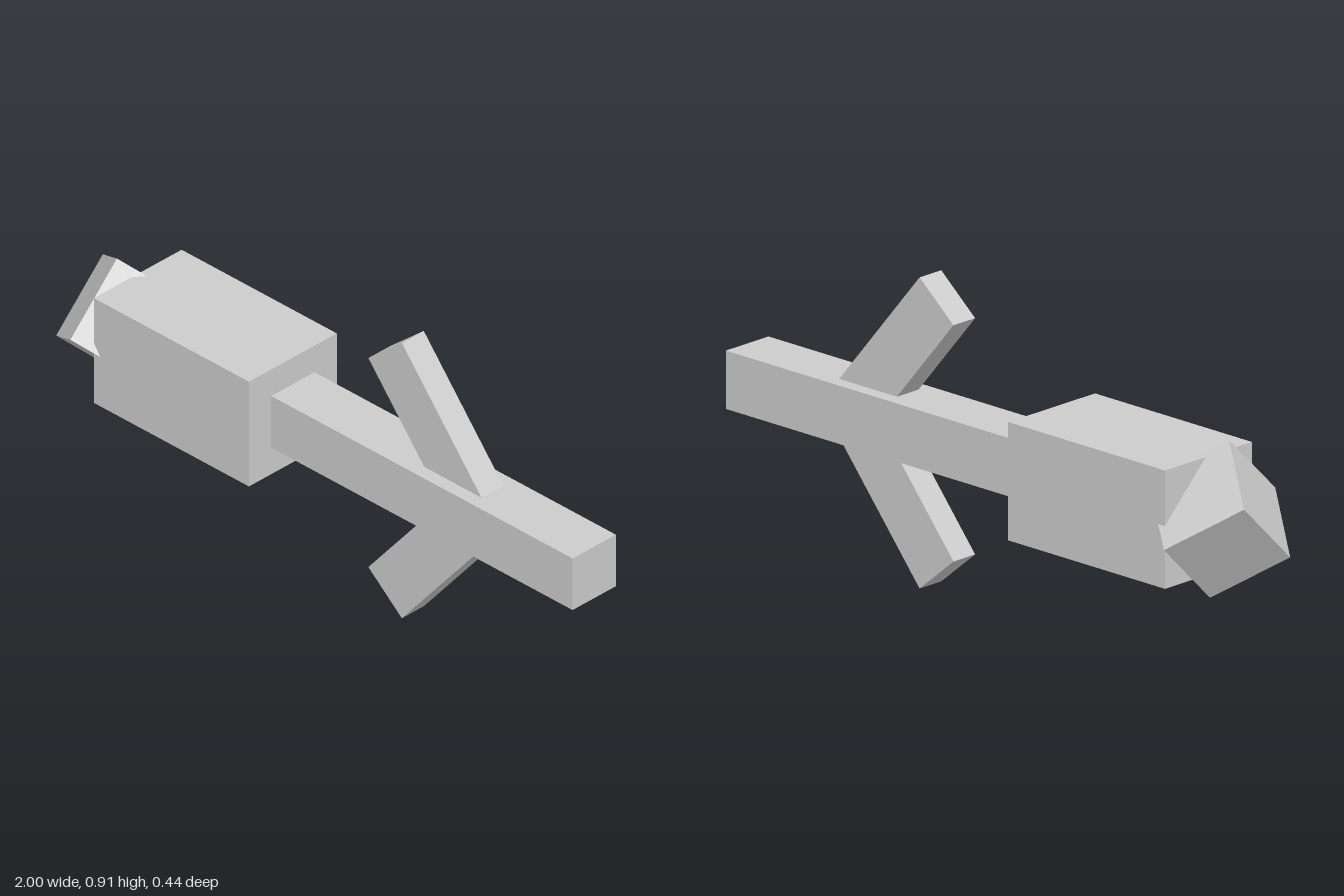
import * as THREE from 'three';

export function createModel() {
  const group = new THREE.Group();
  const grey = new THREE.MeshStandardMaterial({ color: 0xcccccc });
  grey.name = 'light grey';
  const midY = 0.454;

  const box = (name, size, position) => {
    const mesh = new THREE.Mesh(new THREE.BoxGeometry(...size), grey);
    mesh.name = name;
    mesh.position.set(...position);
    group.add(mesh);
    return mesh;
  };

  // main block and the long rod extending from it
  box('body', [0.603, 0.345, 0.345], [-0.4725, midY, 0]);
  box('rod', [1.171, 0.17, 0.17], [0.4145, midY, 0]);

  // cube turned on two axes, sunk into the end of the body
  const tip = box('tipCube', [0.259, 0.259, 0.259], [-0.817, midY, 0]);
  tip.rotation.set(Math.PI / 4, 0, Math.PI / 4);

  // pair of slanted fins, mirrored above and below the rod
  const angle = THREE.MathUtils.degToRad(50);
  const length = 0.51;
  for (const side of [1, -1]) {
    const x = 0.23 + Math.cos(angle) * length / 2;
    const y = 0.399 - Math.sin(angle) * length / 2;
    const fin = box(side > 0 ? 'upperFin' : 'lowerFin', [length, 0.17, 0.086], [x, midY + side * y, 0]);
    fin.rotation.z = -side * angle;
  }

  return group;
}
